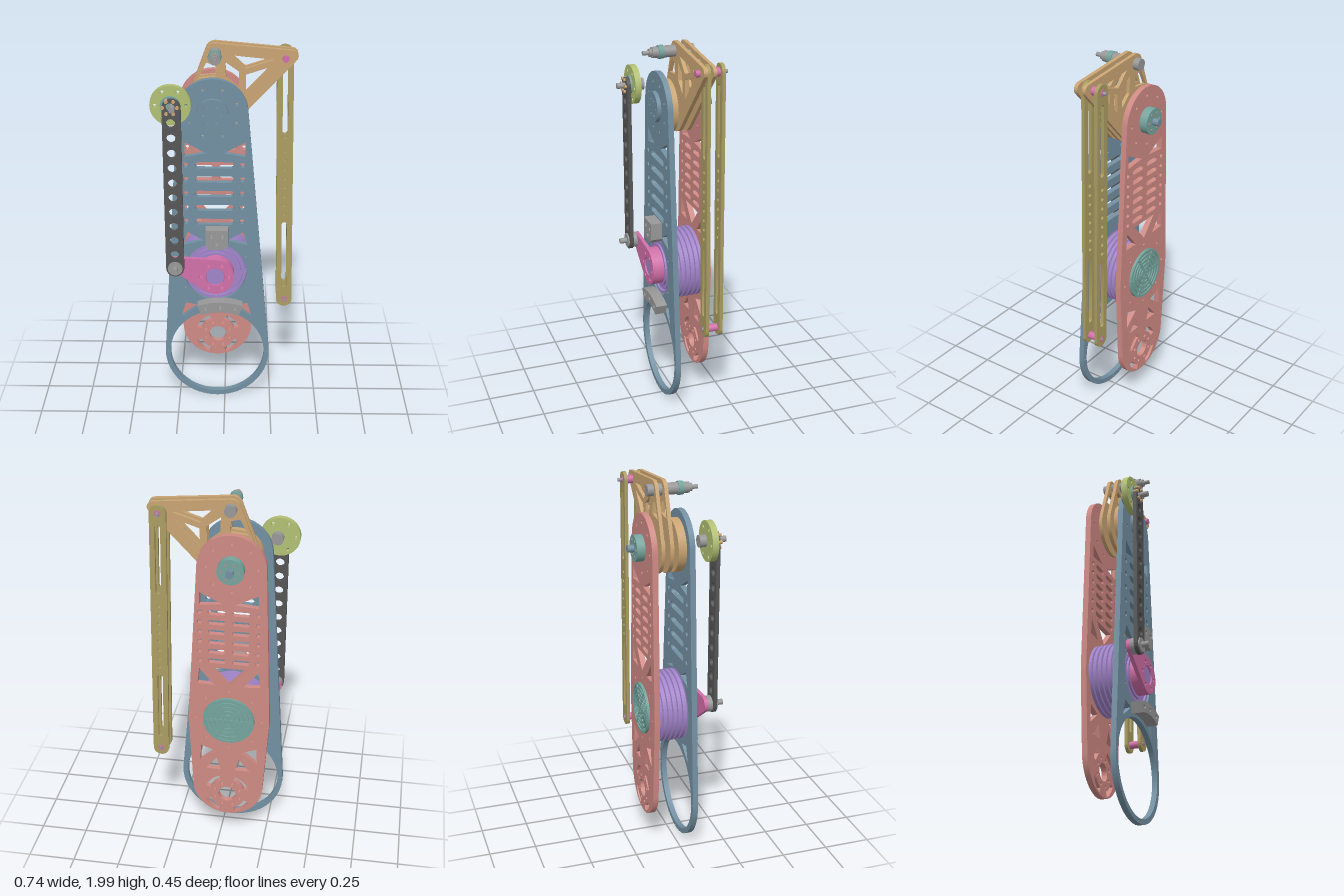
import * as THREE from 'three';
import { toCreasedNormals } from 'three/addons/utils/BufferGeometryUtils.js';

const mat = (name, color) => new THREE.MeshStandardMaterial({ name, color });
const V = (x, y) => new THREE.Vector2(x, y);

export function createModel() {
  const model = new THREE.Group();
  model.name = 'legMechanism';
  const blue = mat('steelBlue', 0x7390a2), red = mat('coralRed', 0xcf8a84), tan = mat('tan', 0xcaa574),
    olive = mat('olive', 0xaa9d62), lime = mat('limeGreen', 0xb2c074), pink = mat('magenta', 0xd070a8),
    purple = mat('purple', 0xa184c9), teal = mat('teal', 0x76a59e), grey = mat('grey', 0x989898),
    dark = mat('darkGrey', 0x565656);

  const add = (name, geo, material) => {
    const m = new THREE.Mesh(geo, material);
    m.name = name;
    model.add(m);
    return m;
  };

  // Convex outline wrapped around circles given as [x, y, r]
  const hull = (circles) => {
    const pts = [];
    for (const [x, y, r] of circles)
      for (let i = 0; i < 64; i++) pts.push(V(x + r * Math.cos(i * Math.PI / 32), y + r * Math.sin(i * Math.PI / 32)));
    pts.sort((a, b) => a.x - b.x || a.y - b.y);
    const half = (list) => {
      const h = [];
      for (const p of list) {
        while (h.length > 1) {
          const a = h[h.length - 2], b = h[h.length - 1];
          if ((b.x - a.x) * (p.y - a.y) - (b.y - a.y) * (p.x - a.x) > 1e-9) break;
          h.pop();
        }
        h.push(p);
      }
      h.pop();
      return h;
    };
    return [...half(pts), ...half([...pts].reverse())];
  };

  // Hole outlines
  const ring = (x, y, r, n = 20) =>
    Array.from({ length: n }, (_, i) => V(x + r * Math.cos(i * 2 * Math.PI / n), y + r * Math.sin(i * 2 * Math.PI / n)));
  const poly = (...p) => p.map(([x, y]) => V(x, y));
  const slot = (x0, y0, x1, y1, r) => hull([[x0, y0, r], [x1, y1, r]]);
  const boltCircle = (x, y, radius, r, n, a0 = 0) => Array.from({ length: n }, (_, i) => {
    const a = a0 + i * 2 * Math.PI / n;
    return ring(x + radius * Math.cos(a), y + radius * Math.sin(a), r, 12);
  });
  const arcBand = (x, y, r0, r1, a0, a1, n = 14) => {
    const out = [];
    for (let i = 0; i <= n; i++) { const a = a0 + (a1 - a0) * i / n; out.push(V(x + r1 * Math.cos(a), y + r1 * Math.sin(a))); }
    for (let i = n; i >= 0; i--) { const a = a0 + (a1 - a0) * i / n; out.push(V(x + r0 * Math.cos(a), y + r0 * Math.sin(a))); }
    return out;
  };
  // Both a polygon and its mirror image about the line x = c
  const pair = (c, ...p) => [poly(...p), poly(...p.map(([x, y]) => [2 * c - x, y]))];

  const plate = (name, outline, holes, z0, z1, material) => {
    const s = new THREE.Shape(outline);
    s.holes = holes.map((h) => new THREE.Path(h));
    const g = new THREE.ExtrudeGeometry(s, { depth: z1 - z0, bevelEnabled: false });
    g.translate(0, 0, z0);
    return add(name, toCreasedNormals(g, 0.5), material);
  };
  const rod = (name, x, y, r, z0, z1, material, n = 32) => {
    const g = new THREE.CylinderGeometry(r, r, z1 - z0, n);
    g.rotateX(Math.PI / 2).translate(x, y, (z0 + z1) / 2);
    return add(name, g, material);
  };

  const hip = [-0.062, 1.66], drum = [-0.05, 0.775], foot = [-0.042, 0.287], knee = [-0.05, 1.945];
  const wheel = [-0.268, 1.727], crank = [-0.257, 0.848];

  // Front plate with large lower ring
  const frontHoles = [ring(...foot, 0.255, 72), ring(...drum, 0.165, 56),
    ...boltCircle(...hip, 0.13, 0.008, 8, Math.PI / 8), ...boltCircle(...foot, 0.269, 0.006, 4, -Math.PI / 2),
    ...boltCircle(...drum, 0.185, 0.007, 6, Math.PI / 6),
    ...pair(-0.05, [-0.205, 1.51], [-0.205, 1.43], [-0.095, 1.45]),
    ...pair(-0.05, [-0.22, 0.935], [-0.195, 1.01], [-0.11, 0.96]),
    ...pair(-0.044, [-0.235, 0.5], [-0.21, 0.59], [-0.135, 0.575])];
  for (let i = 0; i < 5; i++) {
    const y = 1.385 - i * 0.079;
    frontHoles.push(slot(-0.135, y, 0.03, y, 0.017), ring(-0.2, y, 0.014), ring(0.09, y, 0.014));
  }
  plate('frontPlate', hull([[...hip, 0.18], [...foot, 0.283]]), frontHoles, 0.043, 0.072, blue);
  plate('frontHipCap', ring(...hip, 0.08, 48), boltCircle(...hip, 0.045, 0.007, 6), 0.072, 0.093, blue);

  // Back plate
  const backHoles = [ring(...foot, 0.047, 36), ...boltCircle(...foot, 0.073, 0.009, 8, Math.PI / 8),
    ...boltCircle(...hip, 0.13, 0.008, 8), ...boltCircle(...drum, 0.175, 0.007, 8),
    ...pair(-0.05, [-0.2, 1.52], [-0.2, 1.45], [-0.08, 1.46]),
    ...pair(-0.05, [-0.215, 0.99], [-0.205, 1.08], [-0.125, 0.985]),
    ...pair(-0.05, [-0.2, 0.6], [-0.205, 0.5], [-0.12, 0.57]),
    ...pair(-0.045, [-0.165, 0.45], [-0.105, 0.525], [-0.085, 0.45]),
    poly([-0.14, 1.09], [0.04, 1.09], [-0.05, 0.99])];
  for (let i = 0; i < 4; i++) {
    const a = Math.PI / 4 + i * Math.PI / 2;
    backHoles.push(arcBand(...foot, 0.097, 0.125, a - 0.42, a + 0.42));
  }
  for (let i = 0; i < 6; i++) {
    const y = 1.41 - i * 0.056;
    backHoles.push(slot(-0.145, y, -0.08, y, 0.013), slot(-0.02, y, 0.045, y, 0.013),
      ring(-0.2, y, 0.012), ring(0.1, y, 0.012));
  }
  plate('backPlate', hull([[...hip, 0.175], [...drum, 0.216], [-0.045, 0.345, 0.19]]), backHoles, -0.149, -0.119, red);

  // Grooved drum between the plates, with stepped front face
  const profile = [[0, -0.118], [0.19, -0.118]];
  for (let i = 0; i < 6; i++) {
    const z = -0.118 + i * 0.0268;
    profile.push([0.19, z + 0.016], [0.178, z + 0.019], [0.178, z + 0.024], [0.19, z + 0.0268]);
  }
  profile.push([0.16, 0.043], [0.16, 0.064], [0.145, 0.064], [0.145, 0.045], [0.135, 0.045], [0.135, 0.06],
    [0.115, 0.06], [0.115, 0.07], [0, 0.07]);
  const drumGeo = new THREE.LatheGeometry(profile.map(([r, z]) => V(r, z)), 64);
  drumGeo.rotateX(Math.PI / 2).translate(...drum, 0);
  add('drum', toCreasedNormals(drumGeo, 0.5), purple);
  rod('drumShaft', ...drum, 0.047, 0.07, 0.125, purple);

  // Ribbed cover on the back of the drum
  rod('drumCover', ...drum, 0.137, -0.157, -0.149, teal, 56);
  for (const r of [0.03, 0.055, 0.08, 0.105, 0.13])
    plate('coverRib', ring(...drum, r + 0.006, 48), [ring(...drum, r - 0.006, 48)], -0.163, -0.157, teal);
  for (let i = 0; i < 3; i++) {
    const spoke = add('coverSpoke', new THREE.BoxGeometry(0.27, 0.012, 0.006), teal);
    spoke.position.set(...drum, -0.16);
    spoke.rotation.z = i * Math.PI / 3;
  }

  // Hip axle
  rod('hipDisc', ...hip, 0.137, 0, 0.043, tan, 56);
  rod('hipHub', ...hip, 0.05, -0.022, 0, grey);
  rod('hipSpacer', ...hip, 0.055, -0.07, -0.042, tan);
  rod('hipAxle', ...hip, 0.035, -0.149, 0, grey);
  rod('hipFlange', ...hip, 0.068, -0.192, -0.149, teal, 40);
  boltCircle(...hip, 0.045, 0.007, 6).forEach((b) => rod('flangeBolt', b[0].x - 0.007, b[0].y, 0.008, -0.196, -0.192, grey, 12));
  rod('hipShaftEnd', ...hip, 0.019, -0.225, -0.192, blue);

  // Truss rocker made of two matching plates
  const rockerHoles = [ring(0.302, 1.92, 0.012), ring(...knee, 0.015),
    poly([-0.135, 1.815], [-0.095, 1.895], [-0.05, 1.885], [-0.045, 1.825]),
    poly([0, 1.9], [0.07, 1.85], [0.07, 1.75], [0.005, 1.805]),
    poly([0.025, 1.935], [0.245, 1.912], [0.1, 1.865]),
    poly([0.105, 1.835], [0.24, 1.88], [0.105, 1.735])];
  for (const [z0, z1] of [[-0.088, -0.07], [-0.042, -0.022]])
    plate('rockerPlate', hull([[...knee, 0.05], [0.335, 1.93, 0.03], [...hip, 0.137]]), rockerHoles, z0, z1, tan);
  for (const [x, y] of [[0.05, 1.96], [0.09, 1.845], [0.18, 1.945], [0.195, 1.805], [0.085, 1.7]])
    rod('rockerStandoff', x, y, 0.01, -0.07, -0.042, grey, 16);

  // Knee pin stack
  rod('kneeSleeve', ...knee, 0.03, -0.12, -0.045, grey);
  rod('kneeCollar', ...knee, 0.03, -0.022, 0.04, grey);
  rod('kneeNut', ...knee, 0.036, 0.04, 0.068, teal, 8);
  rod('kneeWasher', ...knee, 0.028, 0.068, 0.1, grey);
  rod('kneeNeck', ...knee, 0.02, 0.1, 0.115, grey);
  rod('kneeTip', ...knee, 0.011, 0.115, 0.147, grey);

  // Pair of long slotted links
  const linkHoles = [slot(0.304, 1.845, 0.309, 1.5, 0.014), slot(0.315, 1.0, 0.32, 0.64, 0.014),
    ring(0.302, 1.92, 0.012), ring(0.322, 0.55, 0.012)];
  for (let i = 0; i < 8; i++) linkHoles.push(ring(0.309 + i * 0.0007, 1.42 - i * 0.051, 0.011, 14));
  for (const [z0, z1] of [[-0.141, -0.123], [-0.066, -0.048]])
    plate('longLink', hull([[0.302, 1.92, 0.042], [0.322, 0.55, 0.042]]), linkHoles, z0, z1, olive);
  rod('upperPin', 0.302, 1.92, 0.009, -0.165, -0.005, grey, 20);
  rod('upperPinSpacer', 0.302, 1.92, 0.022, -0.123, -0.088, pink);
  rod('upperPinBush', 0.302, 1.92, 0.017, -0.145, 0, pink);
  rod('lowerPin', 0.322, 0.55, 0.009, -0.148, -0.04, grey, 20);
  rod('lowerPinSpacer', 0.322, 0.55, 0.02, -0.123, -0.066, pink);
  rod('lowerPinBush', 0.322, 0.55, 0.016, -0.144, -0.045, pink);

  // Crank on the front of the drum
  plate('crankHub', ring(...drum, 0.1, 48), [ring(...drum, 0.05, 32), ...boltCircle(...drum, 0.073, 0.01, 6)], 0.07, 0.112, pink);
  plate('crankArm', hull([[...drum, 0.1], [...crank, 0.04]]),
    [ring(...drum, 0.05, 32), ...boltCircle(...drum, 0.073, 0.01, 6)], 0.112, 0.132, pink);
  rod('crankBearing', ...crank, 0.042, 0.132, 0.157, grey);
  rod('crankPin', ...crank, 0.015, 0.132, 0.222, grey);
  rod('crankWasher', ...crank, 0.038, 0.177, 0.184, grey);

  // Perforated coupling bar
  const barHoles = [ring(...wheel, 0.022)];
  for (let i = 0; i < 10; i++) barHoles.push(ring(-0.266 + i * 0.0009, 1.645 - i * 0.08, 0.023));
  plate('couplingBar', hull([[-0.262, 1.722, 0.047], [...crank, 0.047]]), barHoles, 0.157, 0.177, dark);

  // Small wheel with its shaft
  plate('wheelDisc', ring(...wheel, 0.102, 48), [...boltCircle(...wheel, 0.078, 0.01, 6)], 0.115, 0.147, lime);
  rod('wheelHub', ...wheel, 0.05, 0.147, 0.157, teal);
  rod('wheelRearBoss', -0.257, 1.727, 0.031, 0.08, 0.115, grey);
  rod('wheelShaft', -0.257, 1.727, 0.015, 0.147, 0.222, grey);
  for (let i = 0; i < 6; i++)
    rod('wheelBolt', wheel[0] + 0.036 * Math.cos(i * Math.PI / 3), wheel[1] + 0.036 * Math.sin(i * Math.PI / 3), 0.009, 0.157, 0.187, tan, 12);

  // Brackets above and below the drum
  plate('upperBracket', poly([-0.085, 0.935], [0, 0.935], [0.018, 0.955], [0.018, 1.045], [-0.1, 1.045], [-0.1, 0.955]),
    [ring(-0.07, 1.01, 0.011), ring(-0.012, 1.01, 0.011), ring(-0.041, 0.965, 0.011)], 0.072, 0.132, grey);
  plate('lowerBracket', arcBand(-0.025, 0.287, 0.275, 0.335, 1.2, 1.94),
    boltCircle(-0.025, 0.287, 0.305, 0.011, 24, Math.PI / 2).filter((h) => h[0].y > 0.57), 0.072, 0.132, grey);

  return model;
}
